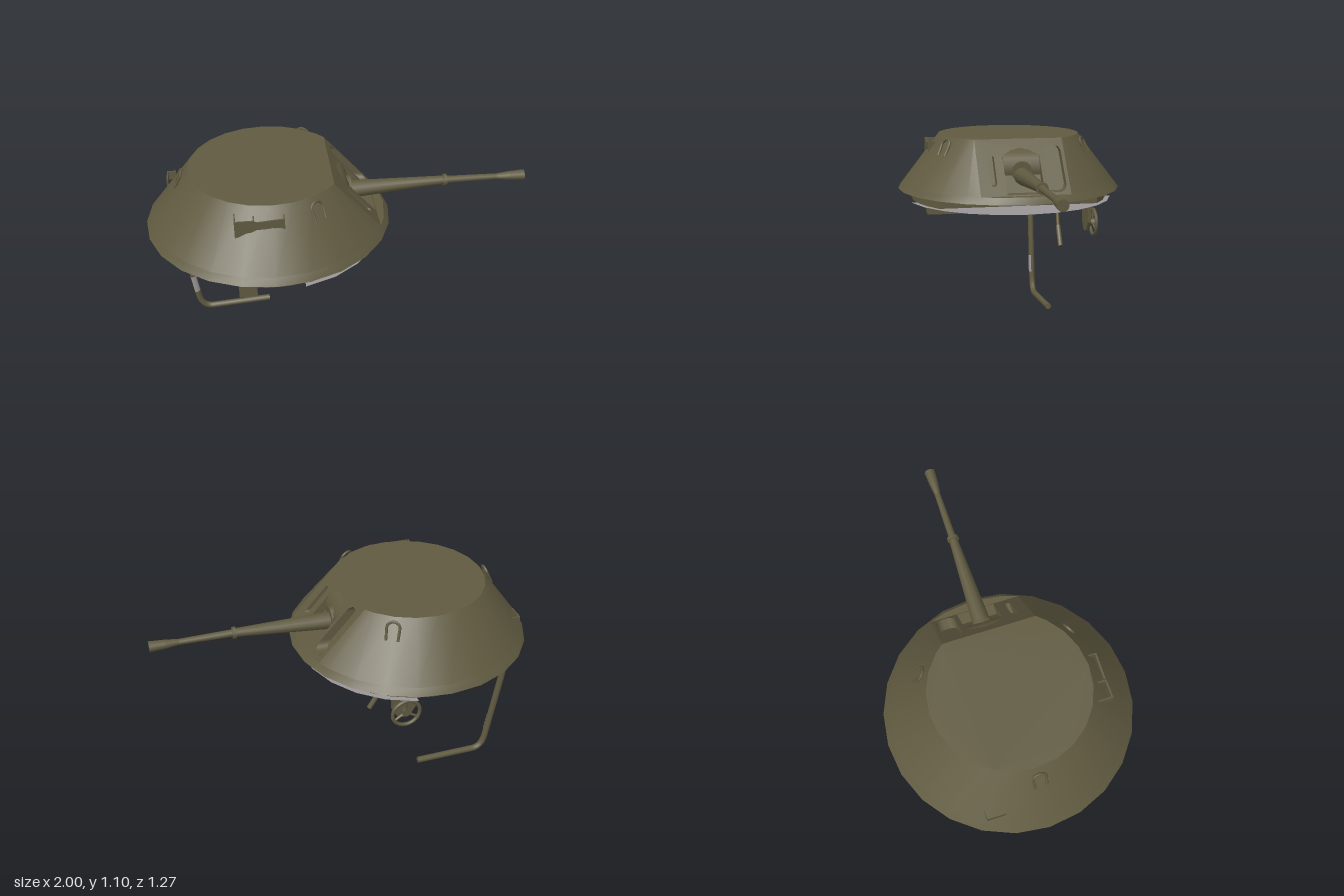
import * as THREE from 'three';

const CX = -0.365; // turret axis
const rad = THREE.MathUtils.degToRad;
const olive = new THREE.MeshStandardMaterial({ color: 0x605a40, side: THREE.DoubleSide });
olive.name = 'olive paint';
const grey = new THREE.MeshStandardMaterial({ color: 0x9a9596, side: THREE.DoubleSide });
grey.name = 'bare metal';

// Points of a loop around the turret axis, counter-clockwise from above
const loop = (r, angles) => angles.map((a) => [CX + r * Math.cos(a), -r * Math.sin(a)]);
const fullAngles = Array.from({ length: 24 }, (_, i) => rad(i * 15));
// Angles of a loop whose front is cut off between z = -0.24 and z = 0.24
const cutAngles = (r) => {
  const c = Math.asin(0.24 / r);
  const a = [c, Math.max(c, rad(30))];
  for (let i = 3; i <= 21; i++) a.push(rad(i * 15));
  return a.concat([2 * Math.PI - a[1], 2 * Math.PI - c]);
};

function loft(lower, y0, upper, y1, closed) {
  const n = lower.length, pos = [], idx = [];
  lower.forEach(([x, z]) => pos.push(x, y0, z));
  upper.forEach(([x, z]) => pos.push(x, y1, z));
  for (let i = 0; i < (closed ? n : n - 1); i++) {
    const j = (i + 1) % n;
    idx.push(i, j, n + j, i, n + j, n + i);
  }
  const g = new THREE.BufferGeometry();
  g.setAttribute('position', new THREE.Float32BufferAttribute(pos, 3));
  g.setIndex(idx);
  g.computeVertexNormals();
  return g;
}

const poly = (pts, C = THREE.Shape) => new C(pts.map((p) => new THREE.Vector2(...p)));

// Flat horizontal face from an outline
const flat = (points, y) => new THREE.ShapeGeometry(poly(points.map(([x, z]) => [x, -z])))
  .rotateX(-Math.PI / 2).translate(0, y, 0);

// Upright slot with round corners
function slot(x0, x1, y0, y1, r) {
  const p = new THREE.Path();
  p.absarc(x1 - r, y1 - r, r, 0, Math.PI / 2);
  p.absarc(x0 + r, y1 - r, r, Math.PI / 2, Math.PI);
  p.absarc(x0 + r, y0 + r, r, Math.PI, Math.PI * 1.5);
  p.absarc(x1 - r, y0 + r, r, Math.PI * 1.5, Math.PI * 2);
  p.closePath();
  return p;
}

// Bends an upright panel onto the sloping gun face
function ontoFace(g, inset = 0) {
  const p = g.attributes.position;
  for (let i = 0; i < p.count; i++) {
    const X = p.getX(i), Y = p.getY(i), Z = p.getZ(i);
    p.setXYZ(i, CX + 0.32 + ((1.1 - Y) / 0.27) * 0.239 + Z - inset, Y, -X);
  }
  g.computeVertexNormals();
  return g;
}

export function createModel() {
  const model = new THREE.Group();
  model.name = 'gunTurret';
  const add = (name, geo, mat = olive) => {
    const m = new THREE.Mesh(geo, mat);
    m.name = name;
    model.add(m);
    return m;
  };
  const box = (name, x0, x1, y0, y1, z0, z1) => add(name,
    new THREE.BoxGeometry(x1 - x0, y1 - y0, z1 - z0)
      .translate((x0 + x1) / 2, (y0 + y1) / 2, (z0 + z1) / 2));
  // Round bar between two points
  const rod = (name, a, b, r0, r1 = r0, sides = 10) => {
    const A = new THREE.Vector3(...a), B = new THREE.Vector3(...b), d = B.clone().sub(A);
    const m = add(name, new THREE.CylinderGeometry(r1, r0, d.length(), sides));
    m.position.copy(A).add(B).multiplyScalar(0.5);
    m.quaternion.setFromUnitVectors(new THREE.Vector3(0, 1, 0), d.normalize());
  };

  // Conical shell, roof and ledge under the gun face
  const topLoop = loop(0.4, cutAngles(0.4));
  add('lowerSkirt', loft(loop(0.635, fullAngles), 0.795, loop(0.608, fullAngles), 0.83, true));
  add('shell', loft(loop(0.608, cutAngles(0.608)), 0.83, topLoop, 1.1, false));
  add('roof', flat(topLoop, 1.1));
  add('gunLedge', flat(loop(0.608, [-23.3, -15, 0, 15, 23.3].map(rad)), 0.83));

  // Sloping gun face with gun port, sight window and slot
  const face = poly([[-0.24, 0.83], [0.24, 0.83], [0.24, 1.1], [-0.24, 1.1]]);
  face.holes.push(
    poly([[-0.1, 0.835], [0.1, 0.835], [0.1, 1.02], [0.05, 1.045], [0, 1.055], [-0.05, 1.045], [-0.1, 1.02]], THREE.Path),
    slot(0.122, 0.222, 0.842, 1.068, 0.04),
    slot(-0.177, -0.147, 0.875, 1.02, 0.014));
  add('gunFace', ontoFace(new THREE.ExtrudeGeometry(face, { depth: 0.06, bevelEnabled: false, curveSegments: 5 })
    .translate(0, 0, -0.06)));
  add('portBacking', ontoFace(new THREE.PlaneGeometry(0.48, 0.27).translate(0, 0.965, 0), 0.06));
  add('mantlet', new THREE.CylinderGeometry(0.11, 0.11, 0.196, 20)
    .rotateX(Math.PI / 2).translate(-0.05, 0.94, 0));

  // Gun
  rod('gunCollar', [0, 0.935, 0], [0.068, 0.935, 0], 0.06, 0.056, 12);
  rod('barrelSleeve', [0.05, 0.913, 0], [0.57, 0.934, 0], 0.048, 0.023, 10);
  rod('sleeveRing', [0.562, 0.934, 0], [0.58, 0.934, 0], 0.031, 0.031, 12);
  rod('barrel', [0.57, 0.934, 0], [0.86, 0.934, 0], 0.02, 0.016);
  rod('muzzleFlare', [0.85, 0.934, 0], [0.92, 0.934, 0], 0.016, 0.024);
  rod('muzzle', [0.92, 0.934, 0], [1, 0.934, 0], 0.024, 0.029);

  // Lifting eyes around the roof
  const eyeHalf = [[0.472, 1.005, 0.03], [0.458, 1.03, 0.031], [0.436, 1.075, 0.029]];
  const eye = new THREE.CatmullRomCurve3([...eyeHalf.map(([x, y, z]) => [x, y, -z]),
    [0.43, 1.09, 0], ...eyeHalf.reverse()].map((p) => new THREE.Vector3(...p)));
  [60, 180, 300].forEach((deg) => {
    const m = add('liftingEye', new THREE.TubeGeometry(eye, 24, 0.007, 6));
    m.position.x = CX;
    m.rotation.y = rad(deg);
  });

  // Thin bracket on the left side of the shell
  add('sideBracket', new THREE.ExtrudeGeometry(poly([[-0.545, 1.06], [-0.455, 1.06], [-0.44, 1.05], [-0.32, 1.06],
    [-0.305, 1.06], [-0.305, 1.005], [-0.33, 1.015], [-0.44, 1.01], [-0.46, 1.0], [-0.545, 0.97]]),
  { depth: 0.008, bevelEnabled: false }).translate(0, 0, 0.457));
  [-0.545, -0.455, -0.311].forEach((x) => box('sideBracketWeb', x, x + 0.006, 1.005, 1.06, 0.39, 0.46));

  // Angle bracket at the rear
  box('rearBracketPlate', -0.893, -0.886, 0.875, 0.925, -0.28, -0.19);
  box('rearBracketWeb', -0.89, -0.845, 0.875, 0.925, -0.283, -0.276);

  // Turret ring with a flat front wall, its rim and the front floor plate
  add('turretRing', new THREE.CylinderGeometry(0.56, 0.56, 0.065, 24, 1, true, rad(141.3), rad(257.4))
    .translate(CX, 0.7675, 0));
  box('ringFrontWall', -0.02, -0.014, 0.735, 0.8, -0.437, 0.437);
  add('ringRim', new THREE.RingGeometry(0.55, 0.633, 24, 1).rotateX(Math.PI / 2).translate(CX, 0.797, 0));
  add('frontFloorPlate', flat(loop(0.59, [-76, -60, -45, -30, -15, 0, 15, 30, 45, 60, 76].map(rad)), 0.736), grey);

  // Equipment boxes hanging under the turret
  box('ammunitionBox', -0.545, -0.455, 0.615, 0.86, 0.2, 0.465);
  box('sideBox', -0.455, -0.305, 0.71, 0.86, 0.2, 0.465);
  add('longBox', new THREE.ExtrudeGeometry(poly([[-0.155, 0.675], [-0.012, 0.675], [0, 0.735], [0, 0.86], [-0.155, 0.86]]),
    { depth: 0.42, bevelEnabled: false }).rotateY(Math.PI / 2).translate(-0.795, 0, 0).scale(1, 1, 1));
  box('smallBlock', -0.3, -0.25, 0.705, 0.8, -0.31, -0.27);
  box('smallBlock', -0.25, -0.2, 0.69, 0.8, -0.385, -0.36);

  // Traversing disc on its column
  rod('discColumn', [-0.185, 0.68, -0.105], [-0.185, 0.86, -0.105], 0.028);
  rod('traverseDisc', [-0.18, 0.673, -0.108], [-0.18, 0.688, -0.108], 0.105, 0.105, 20);
  rod('discKnob', [-0.18, 0.66, -0.045], [-0.18, 0.68, -0.045], 0.018);

  // Crank with grip
  rod('crankArm', [-0.19, 0.75, -0.248], [-0.14, 0.59, -0.248], 0.01);
  rod('crankGrip', [-0.14, 0.59, -0.248], [-0.078, 0.485, -0.248], 0.014);

  // Handwheel on a hanging plate
  const hanger = poly([[-0.27, 0.8], [-0.265, 0.6], [-0.235, 0.55], [-0.2, 0.54], [-0.165, 0.55], [-0.135, 0.6], [-0.13, 0.8]]);
  add('handwheelHanger', new THREE.ExtrudeGeometry(hanger, { depth: 0.02, bevelEnabled: false }).translate(0, 0, -0.44));
  add('handwheelRim', new THREE.TorusGeometry(0.074, 0.01, 8, 24).translate(-0.2, 0.59, -0.47));
  rod('handwheelHub', [-0.2, 0.59, -0.44], [-0.2, 0.59, -0.475], 0.012, 0.022);
  [90, 210, 330].forEach((d) => rod('handwheelSpoke', [-0.2, 0.59, -0.465],
    [-0.2 + 0.074 * Math.cos(rad(d)), 0.59 + 0.074 * Math.sin(rad(d)), -0.47], 0.007, 0.007, 6));

  // Bent foot rest tube
  const V = (x, y, z = -0.232) => new THREE.Vector3(x, y, z);
  const path = new THREE.CurvePath();
  path.add(new THREE.LineCurve3(V(-0.858, 0.82), V(-0.858, 0.55)));
  path.add(new THREE.QuadraticBezierCurve3(V(-0.858, 0.55), V(-0.858, 0.53), V(-0.855, 0.51)));
  path.add(new THREE.LineCurve3(V(-0.855, 0.51), V(-0.797, 0.11)));
  path.add(new THREE.QuadraticBezierCurve3(V(-0.797, 0.11), V(-0.785, 0.018), V(-0.72, 0.02)));
  path.add(new THREE.LineCurve3(V(-0.72, 0.02), V(-0.385, 0.033, -0.248)));
  add('footRest', new THREE.TubeGeometry(path, 70, 0.018, 8));
  rod('footRestEnd', [-0.39, 0.033, -0.248], [-0.38, 0.0333, -0.248], 0.018, 0.018, 8);
  // Worn patches on the tube
  [[-0.81, 0.195, 0.11], [-0.857, 0.53, 0.03]].forEach(([x, y, length]) => {
    const worn = add('wornPatch', new THREE.CylinderGeometry(0.02, 0.02, length, 6, 1, true, -0.7, 1.9), grey);
    worn.position.set(x, y, -0.232);
    worn.rotation.z = 0.144;
  });

  return model;
}
